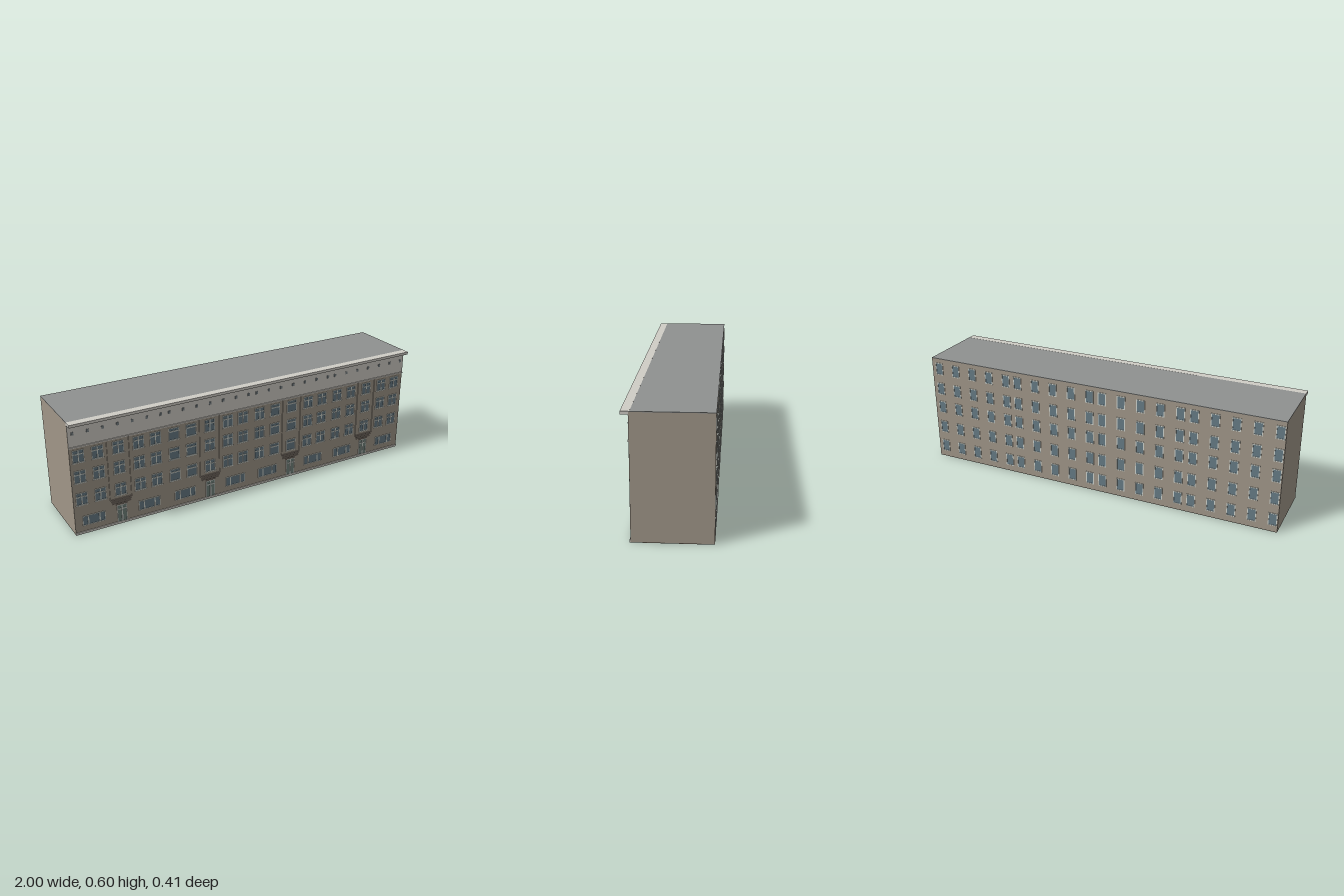
import * as THREE from 'three';

const mat = (color) => new THREE.MeshStandardMaterial({ color });
const wallMat = mat(0xa09688), roofMat = mat(0x8f9190), paleMat = mat(0xd0cdc6);
const frameMat = mat(0xcdd2cc), glassMat = mat(0x667a84), doorMat = mat(0x72827c);
const canopyMat = mat(0x8a7f74), ventMat = mat(0x7b8488), baseMat = mat(0x6f675c);

const FRONT = 0.17, BACK = -0.203, TOP = 0.604;
const SECTIONS = [-0.75, -0.25, 0.25, 0.75];

// Box given by its centre and size
function box(name, material, x, y, z, w, h, d) {
  const mesh = new THREE.Mesh(new THREE.BoxGeometry(w, h, d), material);
  mesh.name = name;
  mesh.position.set(x, y, z);
  return mesh;
}

// Flat frame with one rectangular hole per pane; panes are [x0, y0, x1, y1]
function frameGeometry(w, h, panes, depth) {
  const rect = (P, x0, y0, x1, y1) => {
    const p = new P();
    p.moveTo(x0, y0); p.lineTo(x1, y0); p.lineTo(x1, y1); p.lineTo(x0, y1); p.closePath();
    return p;
  };
  const shape = rect(THREE.Shape, -w / 2, -h / 2, w / 2, h / 2);
  for (const p of panes) shape.holes.push(rect(THREE.Path, ...p));
  return new THREE.ExtrudeGeometry(shape, { depth, bevelEnabled: false });
}

// Panes between the listed dividers, given as fractions of the width and height
function grid(w, h, xs, ys, bar) {
  const panes = [];
  for (let i = 0; i + 1 < xs.length; i++)
    for (let j = 0; j + 1 < ys.length; j++)
      panes.push([(xs[i] - 0.5) * w + bar, (ys[j] - 0.5) * h + bar,
        (xs[i + 1] - 0.5) * w - bar, (ys[j + 1] - 0.5) * h - bar]);
  return panes;
}

// Window maker sharing its geometry between all copies
function windowType(name, w, h, xs, ys, bar, depth, paneMat = glassMat) {
  const frame = frameGeometry(w, h, grid(w, h, xs, ys, bar), depth);
  const pane = new THREE.PlaneGeometry(w - bar, h - bar);
  return (x, y, z, back = false) => {
    const g = new THREE.Group();
    g.name = name;
    const f = new THREE.Mesh(frame, frameMat);
    f.name = name + 'Frame';
    const p = new THREE.Mesh(pane, paneMat);
    p.name = name + 'Glass';
    p.position.z = depth * 0.35;
    g.add(f, p);
    g.position.set(x, y, z);
    if (back) g.rotation.y = Math.PI;
    return g;
  };
}

export function createModel() {
  const model = new THREE.Group();
  model.name = 'apartmentBlock';

  // Main volume, flat roof and underside
  const depth = FRONT - BACK, midZ = (FRONT + BACK) / 2;
  model.add(box('walls', wallMat, 0, TOP / 2, midZ, 2, TOP - 0.006, depth));
  model.add(box('roof', roofMat, 0, TOP - 0.0015, midZ - 0.001, 2, 0.003, depth));
  model.add(box('underside', baseMat, 0, 0.0015, midZ, 2, 0.003, depth));

  // Pale frieze, its ledge, the projecting cornice and the plinth
  model.add(box('frieze', paleMat, 0, 0.533, FRONT, 2, 0.116, 0.002));
  model.add(box('friezeLedge', paleMat, 0, 0.471, FRONT + 0.002, 2, 0.006, 0.006));
  model.add(box('cornice', paleMat, 0, 0.597, 0.1855, 2, 0.0145, 0.041));
  model.add(box('plinth', paleMat, 0, 0.006, FRONT + 0.001, 2, 0.012, 0.006));

  const sash = windowType('sashWindow', 0.058, 0.066, [0, 0.5, 1], [0, 0.68, 1], 0.0025, 0.004);
  const plain = windowType('plainWindow', 0.058, 0.066, [0, 1], [0, 0.72, 1], 0.003, 0.004);
  const shop = windowType('groundWindow', 0.118, 0.053, [0, 0.25, 0.75, 1], [0, 1], 0.003, 0.004);
  const rear = windowType('rearWindow', 0.046, 0.07, [0, 1], [0, 1], 0.004, 0.003);
  const door = windowType('door', 0.052, 0.106, [0, 0.5, 1], [0, 0.78, 1], 0.0028, 0.004, doorMat);

  SECTIONS.forEach((cx, s) => {
    const section = new THREE.Group();
    section.name = 'section' + (s + 1);
    model.add(section);

    // Three upper storeys of front windows
    [-0.206, -0.11, -0.004, 0.102, 0.193].forEach((dx, c) => {
      [0.193, 0.313, 0.422].forEach((y) => {
        const make = (s === 1 && c < 2) || (s === 2 && (c === 1 || c === 2)) ? plain : sash;
        section.add(make(cx + dx, y, FRONT));
        section.add(box('sill', frameMat, cx + dx, y - 0.034, FRONT + 0.002, 0.064, 0.003, 0.006));
      });
    });

    // Ground floor windows and entrance
    for (const dx of [-0.152, 0.146]) section.add(shop(cx + dx, 0.069, FRONT));
    section.add(door(cx - 0.004, 0.053, FRONT));

    // Stepped canopy over the door, with slim strips rising on both sides
    [[0.06, 0.109], [0.098, 0.118], [0.104, 0.129], [0.118, 0.14]].forEach(([w, y], i) => {
      section.add(box('canopyStep', canopyMat, cx - 0.004, y, FRONT + 0.002, w, 0.006, 0.004 + i * 0.001));
    });
    for (const side of [-1, 1])
      section.add(box('wallStrip', wallMat, cx - 0.004 + side * 0.057, 0.307, FRONT + 0.001, 0.005, 0.325, 0.007));

    // Small square vents in the frieze
    for (let i = -3; i <= 3; i++)
      section.add(box('vent', ventMat, cx + i * 0.0755, 0.544, FRONT + 0.001, 0.012, 0.015, 0.006));

    // Five storeys of rear windows
    for (let c = -2; c <= 2; c++)
      for (const y of [0.07, 0.19, 0.313, 0.424, 0.543])
        section.add(rear(cx - 0.009 + c * 0.107, y, BACK, true));
  });

  return model;
}
